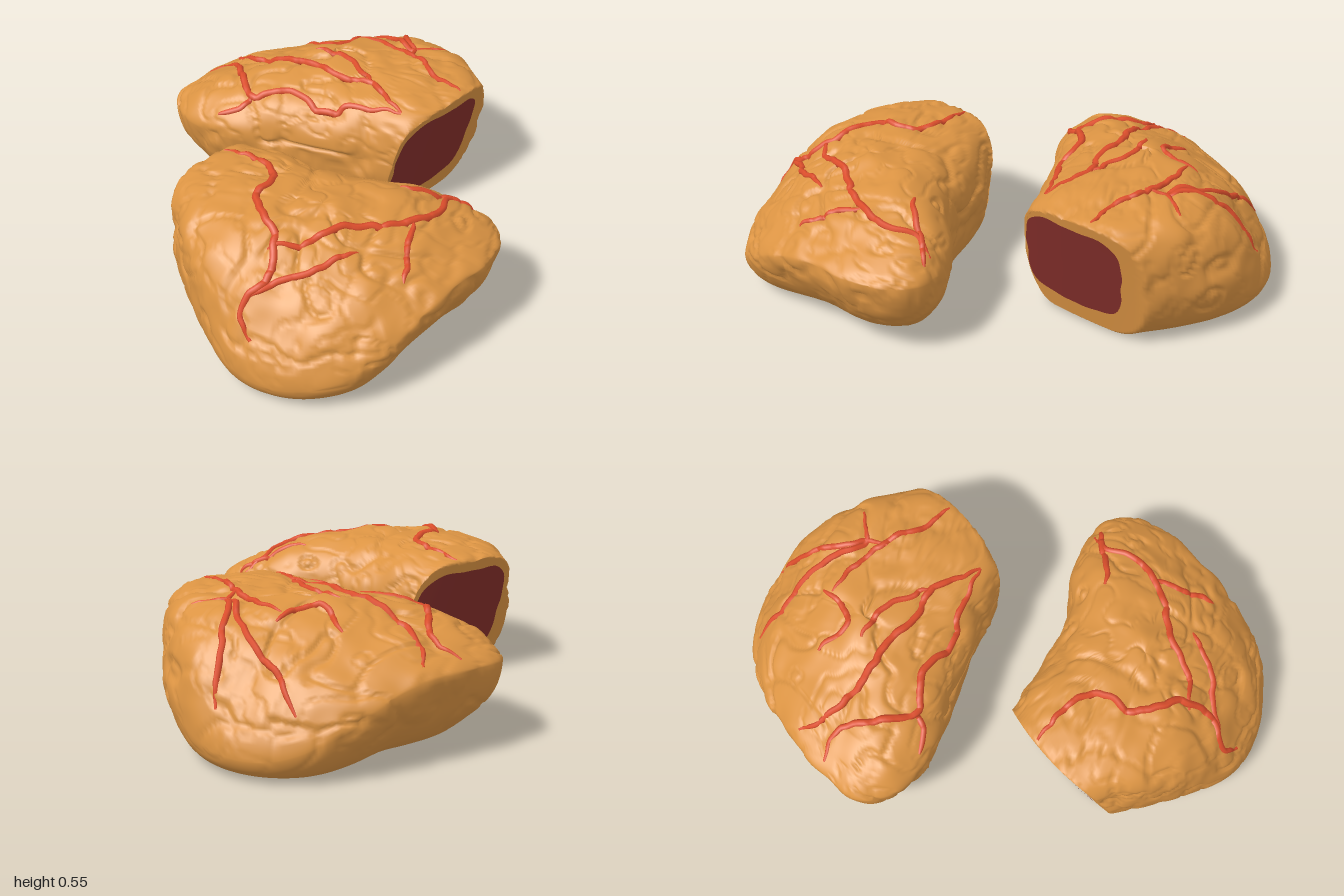
import * as THREE from 'three';

const crust = new THREE.MeshStandardMaterial({ color: 0xdc9443 });
crust.name = 'golden crust';
const flesh = new THREE.MeshStandardMaterial({ color: 0x842f2b });
flesh.name = 'dark red filling';
const veinRed = new THREE.MeshStandardMaterial({ color: 0xdd4e2c });
veinRed.name = 'vein red';

const CENTRE = [0.15, 0.5], TOP = 0.53;

// Smooth 3D value noise, range -1..1
function hash(x, y, z) {
  const s = Math.sin(x * 127.1 + y * 311.7 + z * 74.7) * 43758.5453;
  return (s - Math.floor(s)) * 2 - 1;
}
function noise(x, y, z) {
  const i = Math.floor(x), j = Math.floor(y), k = Math.floor(z);
  const f = (t) => t * t * (3 - 2 * t);
  const u = f(x - i), v = f(y - j), w = f(z - k), mix = THREE.MathUtils.lerp;
  const edge = (b, c) => mix(hash(i, b, c), hash(i + 1, b, c), u);
  return mix(mix(edge(j, k), edge(j + 1, k), v), mix(edge(j, k + 1), edge(j + 1, k + 1), v), w);
}

// Leaning, slightly bowed surface of the sliced side
function sliceX(x0, y, z) {
  const bow = Math.max(0, 1 - ((z - 0.33) / 0.26) ** 2) * (0.4 + y);
  return x0 - (0.2 * (y - 0.28) + 0.42 * (z - 0.34)) / 0.9 - 0.045 * bow;
}

// Point on a superellipse quarter, a = 0..PI/2
function superPoint(a, p) {
  const s = Math.sin(a), c = Math.max(Math.cos(a), 0);
  const f = (s ** p + c ** p) ** (-1 / p);
  return [s * f, c * f];
}

// Lump: the outline swept through a vertical section that changes with direction
function lumpGeometry(outline, x0, seed) {
  const curve = new THREE.CatmullRomCurve3(
    outline.map(([x, z]) => new THREE.Vector3(x, 0, z)), true);
  const cols = 230, upper = 60, lower = 26, base = 8, rows = upper + lower + base;
  const rim = curve.getSpacedPoints(cols).slice(0, cols);
  const pos = [], index = [];
  for (let i = 0; i <= rows; i++) {
    for (const q of rim) {
      const dx = q.x - CENTRE[0], dz = q.z - CENTRE[1], len = Math.hypot(dx, dz);
      const c = dx / len, s = dz / len;
      // weighted by side: +x, -x, +z, -z
      const blend = (a, b, d, e) =>
        c * c * (c > 0 ? a : b) + s * s * (s > 0 ? d : e);
      const wide = blend(0.33, 0.3, 0.09, 0.28);
      const foot = blend(0.5, 0.72, 0.86, 0.7);
      let r, y;
      if (i <= upper) {
        const [a, b] = superPoint((i / upper) * Math.PI / 2, blend(1.3, 4.2, 1.62, 2.5));
        r = a;
        y = wide + (TOP - wide) * b;
      } else if (i <= upper + lower) {
        const [a, b] = superPoint(((i - upper) / lower) * Math.PI / 2, blend(1.6, 2, 1.8, 2.1));
        r = foot + (1 - foot) * b;
        y = 0.015 + (wide - 0.015) * (1 - a);
      } else {
        const t = 1 - (i - upper - lower) / base;
        r = foot * t;
        y = 0.015 * t * t;
      }
      pos.push(CENTRE[0] + dx * r, y + 0.004, CENTRE[1] + dz * r);
    }
  }
  for (let i = 0; i < rows; i++) {
    for (let j = 0; j < cols; j++) {
      const a = i * cols + j, b = i * cols + (j + 1) % cols;
      index.push(a, b, a + cols, b, b + cols, a + cols);
    }
  }
  const g = new THREE.BufferGeometry();
  g.setAttribute('position', new THREE.Float32BufferAttribute(pos, 3));
  g.setIndex(index);
  g.computeVertexNormals();

  // Swellings and creases, then the slice
  const P = g.attributes.position, N = g.attributes.normal;
  const p = new THREE.Vector3(), n = new THREE.Vector3();
  for (let i = 0; i < P.count; i++) {
    p.fromBufferAttribute(P, i);
    n.fromBufferAttribute(N, i);
    if (i < cols) n.set(0, 1, 0);
    const { x, y, z } = p;
    const warp = 0.5 * noise(x * 6 + seed, y * 6, z * 6);
    const crease = noise(x * 8 + warp + seed, y * 8 + warp, z * 8 - warp);
    const fine = noise(x * 15 + seed, y * 15 + warp, z * 15 + 40);
    const d = 0.01 * noise(x * 10, y * 10 + seed, z * 10) + 0.004 * fine + 0.003
      - 0.012 * Math.exp(-((crease / 0.07) ** 2)) - 0.006 * Math.exp(-((fine / 0.1) ** 2));
    p.addScaledVector(n, d * THREE.MathUtils.smoothstep(y, 0.02, 0.25));
    p.x = Math.max(p.x, sliceX(x0, p.y, p.z));
    P.setXYZ(i, p.x, Math.max(p.y, 0), p.z);
  }
  g.computeVertexNormals();
  return g;
}

// Thin rounded-square plate on the slice, in rings so that it follows the bow
function sliceFace(x0) {
  const g = new THREE.RingGeometry(0.001, 1, 72, 8), P = g.attributes.position;
  for (let i = 0; i < P.count; i++) {
    const a = P.getX(i), b = P.getY(i), t = Math.atan2(b, a);
    const f = (Math.cos(t) ** 4 + Math.sin(t) ** 4) ** -0.25
      * (0.99 + 0.012 * Math.sin(7 * t) + 0.008 * Math.sin(13 * t));
    const y = 0.275 + 0.185 * b * f, z = 0.33 + 0.2 * a * f;
    P.setXYZ(i, sliceX(x0, y, z) - 0.004, y, z);
  }
  g.computeVertexNormals();
  return new THREE.Mesh(g, flesh);
}

// Tapering vein sunk into the surface along a plan-view path
function vein(path, body, radius) {
  const ray = new THREE.Raycaster(), down = new THREE.Vector3(0, -1, 0);
  const plan = new THREE.CatmullRomCurve3(path.map(([x, z]) => new THREE.Vector3(x, 1, z)));
  const points = [];
  for (const q of plan.getSpacedPoints(path.length * 5)) {
    q.x += 0.008 * noise(q.x * 25, 3, q.z * 25);
    q.z += 0.008 * noise(q.x * 25, 9, q.z * 25);
    ray.set(q, down);
    const hit = ray.intersectObject(body)[0];
    if (hit) points.push(hit.point.clone().addScaledVector(hit.face.normal, -0.003));
  }
  const curve = new THREE.CatmullRomCurve3(points);
  const steps = points.length * 2, sides = 7;
  const g = new THREE.TubeGeometry(curve, steps, radius, sides);
  const P = g.attributes.position, v = new THREE.Vector3();
  for (let i = 0; i < P.count; i++) {
    const t = Math.floor(i / (sides + 1)) / steps;
    v.fromBufferAttribute(P, i).lerp(curve.getPointAt(t), 0.6 * Math.abs(2 * t - 1) ** 4);
    P.setXYZ(i, v.x, v.y, v.z);
  }
  return new THREE.Mesh(g, veinRed);
}

function makeHalf(name, outline, x0, seed, paths) {
  const half = new THREE.Group();
  half.name = name;
  const body = new THREE.Mesh(lumpGeometry(outline, x0, seed), crust);
  body.name = 'crust';
  const face = sliceFace(x0);
  face.name = 'slicedFace';
  half.add(body, face);
  paths.forEach((path, i) => {
    const m = vein(path, body, i < 2 ? 0.015 : 0.013);
    m.name = 'vein';
    half.add(m);
  });
  return half;
}

export function createModel() {
  const model = new THREE.Group();
  model.name = 'slicedLoaf';

  const frontOutline = [[-0.5, 0.36], [-0.44, 0.24], [-0.32, 0.14], [-0.15, 0.13], [0.05, 0.155],
    [0.22, 0.16], [0.38, 0.11], [0.55, 0.095], [0.67, 0.13], [0.735, 0.25], [0.72, 0.4],
    [0.64, 0.58], [0.55, 0.75], [0.44, 0.9], [0.3, 0.97], [0.15, 0.995], [0, 0.97],
    [-0.13, 0.88], [-0.27, 0.74], [-0.37, 0.61], [-0.45, 0.5]];
  const frontVeins = [
    [[-0.35, 0.27], [-0.2, 0.3], [-0.1, 0.36], [-0.06, 0.45], [-0.08, 0.52], [-0.04, 0.6],
      [0.04, 0.68], [0.06, 0.8], [0, 0.9], [0.05, 0.95]],
    [[0.04, 0.73], [0.15, 0.67], [0.25, 0.57], [0.32, 0.52], [0.45, 0.42], [0.52, 0.3],
      [0.52, 0.18], [0.57, 0.13]],
    [[0.02, 0.87], [0.1, 0.8], [0.2, 0.76], [0.28, 0.68], [0.33, 0.63]],
    [[0.46, 0.42], [0.48, 0.55], [0.5, 0.65]],
    [[0.36, 0.25], [0.45, 0.22], [0.52, 0.17], [0.6, 0.14]]];

  // The back half is shaped facing forward, then turned about
  const backOutline = [[-0.53, 0.38], [-0.46, 0.24], [-0.34, 0.14], [-0.2, 0.125], [0, 0.125],
    [0.18, 0.11], [0.32, 0.1], [0.45, 0.085], [0.6, 0.11], [0.72, 0.2], [0.74, 0.28],
    [0.7, 0.44], [0.6, 0.62], [0.5, 0.78], [0.35, 0.93], [0.15, 0.995], [-0.03, 0.98],
    [-0.2, 0.89], [-0.34, 0.75], [-0.43, 0.62], [-0.49, 0.52]];
  const backVeins = [
    [[0.67, 0.43], [0.55, 0.42], [0.48, 0.3], [0.38, 0.18], [0.25, 0.22], [0.1, 0.18],
      [-0.05, 0.2], [-0.22, 0.2]],
    [[0.6, 0.57], [0.55, 0.5], [0.4, 0.42], [0.2, 0.38], [0.05, 0.33], [-0.05, 0.33],
      [-0.12, 0.28], [-0.22, 0.2]],
    [[0.3, 0.9], [0.2, 0.85], [0.07, 0.8], [-0.05, 0.72], [-0.13, 0.63], [-0.25, 0.7]],
    [[0.02, 0.96], [-0.03, 0.85], [-0.08, 0.73], [-0.14, 0.63], [-0.15, 0.55]],
    [[0.32, 0.62], [0.2, 0.55], [0.13, 0.6], [0.1, 0.7]],
    [[0.1, 0.66], [-0.05, 0.62], [-0.2, 0.53], [-0.3, 0.45], [-0.4, 0.41]],
    [[0.22, 0.48], [0.08, 0.45], [0, 0.38], [-0.06, 0.33]],
    [[0.38, 0.19], [0.42, 0.14], [0.5, 0.115]]];

  const back = makeHalf('backHalf', backOutline, -0.3, 31.7, backVeins);
  back.rotation.y = Math.PI;
  model.add(makeHalf('frontHalf', frontOutline, -0.27, 5.3, frontVeins), back);
  return model;
}
